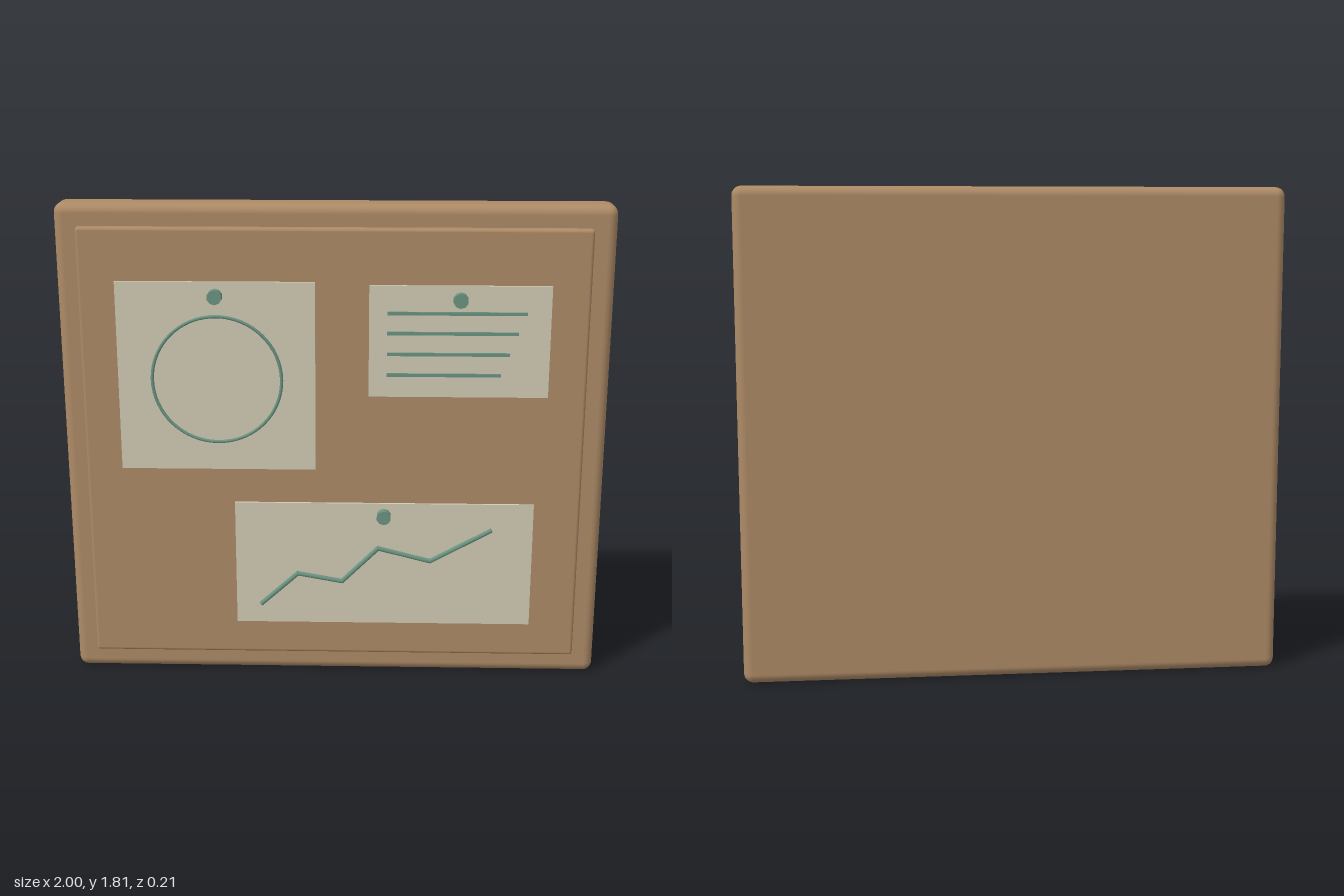
import * as THREE from 'three';
import { RoundedBoxGeometry } from 'three/addons/geometries/RoundedBoxGeometry.js';

const material = (name, color) => {
  const m = new THREE.MeshStandardMaterial({ color });
  m.name = name;
  return m;
};

export function createModel() {
  const group = new THREE.Group();
  group.name = 'noticeBoard';
  const wood = material('warm brown', 0xad8a66);
  const cream = material('paper cream', 0xd2cbb5);
  const green = material('sage green', 0x6b9482);

  const add = (name, geometry, mat, x, y, z, parent = group) => {
    const mesh = new THREE.Mesh(geometry, mat);
    mesh.name = name;
    mesh.position.set(x, y, z);
    parent.add(mesh);
    return mesh;
  };

  // Backing board and the raised panel on its front
  add('backBoard', new RoundedBoxGeometry(2, 1.81, 0.135, 4, 0.035), wood, 0, 0.905, -0.0375);
  add('frontPanel', new RoundedBoxGeometry(1.835, 1.645, 0.04, 3, 0.012), wood, -0.002, 0.908, 0.038);

  // Sheets: left, right, bottom, top, and the pin position
  const sheets = [
    ['circleSheet', -0.785, -0.068, 0.837, 1.54, -0.425, 1.49],
    ['noteSheet', 0.125, 0.775, 1.12, 1.53, 0.45, 1.482],
    ['chartSheet', -0.37, 0.742, 0.22, 0.705, 0.185, 0.66],
  ];
  const [circleSheet, noteSheet, chartSheet] = sheets.map(([name, x0, x1, y0, y1, px, py]) => {
    const sheet = new THREE.Group();
    sheet.name = name;
    group.add(sheet);
    add('paper', new THREE.BoxGeometry(x1 - x0, y1 - y0, 0.009), cream,
      (x0 + x1) / 2, (y0 + y1) / 2, 0.0655, sheet);
    add('pin', new THREE.CylinderGeometry(0.027, 0.027, 0.03, 10), green, px, py, 0.09, sheet)
      .rotation.x = Math.PI / 2;
    return sheet;
  });

  // Drawn circle
  add('ring', new THREE.TorusGeometry(0.235, 0.006, 8, 64), green, -0.425, 1.18, 0.075, circleSheet);

  // Written lines, each shorter than the one above
  [[1.43, 0.69], [1.357, 0.66], [1.28, 0.632], [1.203, 0.602]].forEach(([y, end]) => {
    add('textLine', new THREE.BoxGeometry(end - 0.19, 0.012, 0.008), green,
      (0.19 + end) / 2, y, 0.073, noteSheet);
  });

  // Chart line made of straight rods
  const points = [[-0.275, 0.3], [-0.137, 0.425], [0.03, 0.395], [0.165, 0.53], [0.36, 0.48], [0.585, 0.605]];
  for (let i = 0; i < points.length - 1; i++) {
    const [ax, ay] = points[i];
    const [bx, by] = points[i + 1];
    const rod = new THREE.CylinderGeometry(0.009, 0.009, Math.hypot(bx - ax, by - ay) + 0.006, 8);
    add('chartLine', rod, green, (ax + bx) / 2, (ay + by) / 2, 0.079, chartSheet)
      .rotation.z = Math.atan2(by - ay, bx - ax) - Math.PI / 2;
  }
  return group;
}
